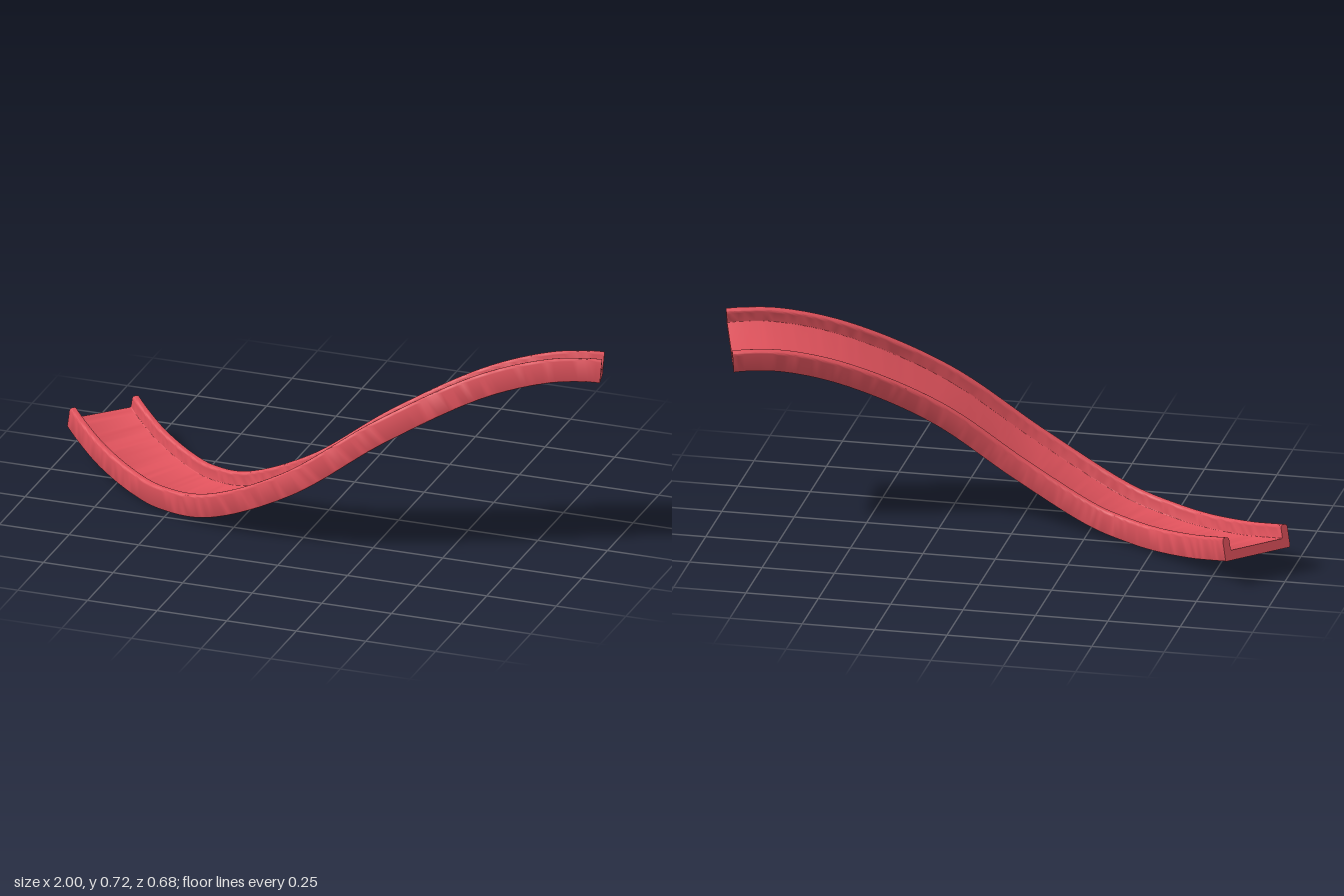
import * as THREE from 'three';
import { toCreasedNormals } from 'three/addons/utils/BufferGeometryUtils.js';

const WIDTH = 0.26, HEIGHT = 0.08, WALL = 0.026, FLOOR = 0.034, STEPS = 120;

// Closed polyline with every corner rounded: corners are [u, v, radius]
function roundedProfile(corners, segments = 4) {
  const out = [];
  corners.forEach(([u, v, r], i) => {
    const c = new THREE.Vector2(u, v);
    const toward = (k) => {
      const q = corners[(i + k + corners.length) % corners.length];
      return new THREE.Vector2(q[0], q[1]).sub(c).setLength(r).add(c);
    };
    out.push(...new THREE.QuadraticBezierCurve(toward(-1), c, toward(1)).getPoints(segments));
  });
  return out;
}

// Sweep a profile along a curve, carrying the frame without extra twist
function sweep(curve, profile, steps) {
  const n = profile.length, pos = [], idx = [];
  const up = new THREE.Vector3(0, 1, 0), side = new THREE.Vector3();
  for (let i = 0; i <= steps; i++) {
    const p = curve.getPointAt(i / steps), t = curve.getTangentAt(i / steps);
    up.addScaledVector(t, -up.dot(t)).normalize();
    side.crossVectors(t, up);
    for (const q of profile) {
      const v = p.clone().addScaledVector(side, q.x).addScaledVector(up, q.y);
      pos.push(v.x, v.y, v.z);
    }
  }
  for (let i = 0; i < steps; i++) {
    for (let j = 0; j < n; j++) {
      const a = i * n + j, b = i * n + (j + 1) % n;
      idx.push(a, a + n, b, b, a + n, b + n);
    }
  }
  // End caps
  const last = steps * n;
  for (const [a, b, c] of THREE.ShapeUtils.triangulateShape(profile, [])) {
    idx.push(a, b, c, last + a, last + c, last + b);
  }
  const geo = new THREE.BufferGeometry();
  geo.setAttribute('position', new THREE.Float32BufferAttribute(pos, 3));
  geo.setIndex(idx);
  return toCreasedNormals(geo, Math.PI / 4);
}

export function createModel() {
  const group = new THREE.Group();
  group.name = 'slide';

  // Centre line of the underside, from the low end to the high end
  const path = new THREE.CatmullRomCurve3([
    [-0.91, 0.09, -0.255], [-0.86, 0.071, -0.206], [-0.75, 0.036, -0.11],
    [-0.6, 0.009, 0.0], [-0.48, 0.005, 0.075], [-0.3, 0.034, 0.15],
    [0, 0.178, 0.207], [0.3, 0.388, 0.165], [0.6, 0.545, 0.06],
    [0.8, 0.6, -0.006], [0.92, 0.606, -0.044], [0.957, 0.603, -0.055],
  ].map((p) => new THREE.Vector3(...p)));
  path.arcLengthDivisions = 600;

  // U-shaped section: flat floor with a rounded wall on each side
  const o = WIDTH / 2, w = o - WALL;
  const profile = roundedProfile([
    [-o, 0, 0.005], [o, 0, 0.005],
    [o, HEIGHT, 0.011], [w, HEIGHT, 0.011],
    [w, FLOOR, 0.004], [-w, FLOOR, 0.004],
    [-w, HEIGHT, 0.011], [-o, HEIGHT, 0.011],
  ]);

  const channel = new THREE.Mesh(
    sweep(path, profile, STEPS),
    new THREE.MeshStandardMaterial({ color: 0xe0525c }),
  );
  channel.name = 'slideChannel';

  // Centre on x and z and stand on the ground
  channel.geometry.computeBoundingBox();
  const box = channel.geometry.boundingBox, mid = box.getCenter(new THREE.Vector3());
  channel.geometry.translate(-mid.x, -box.min.y, -mid.z);
  group.add(channel);
  return group;
}
